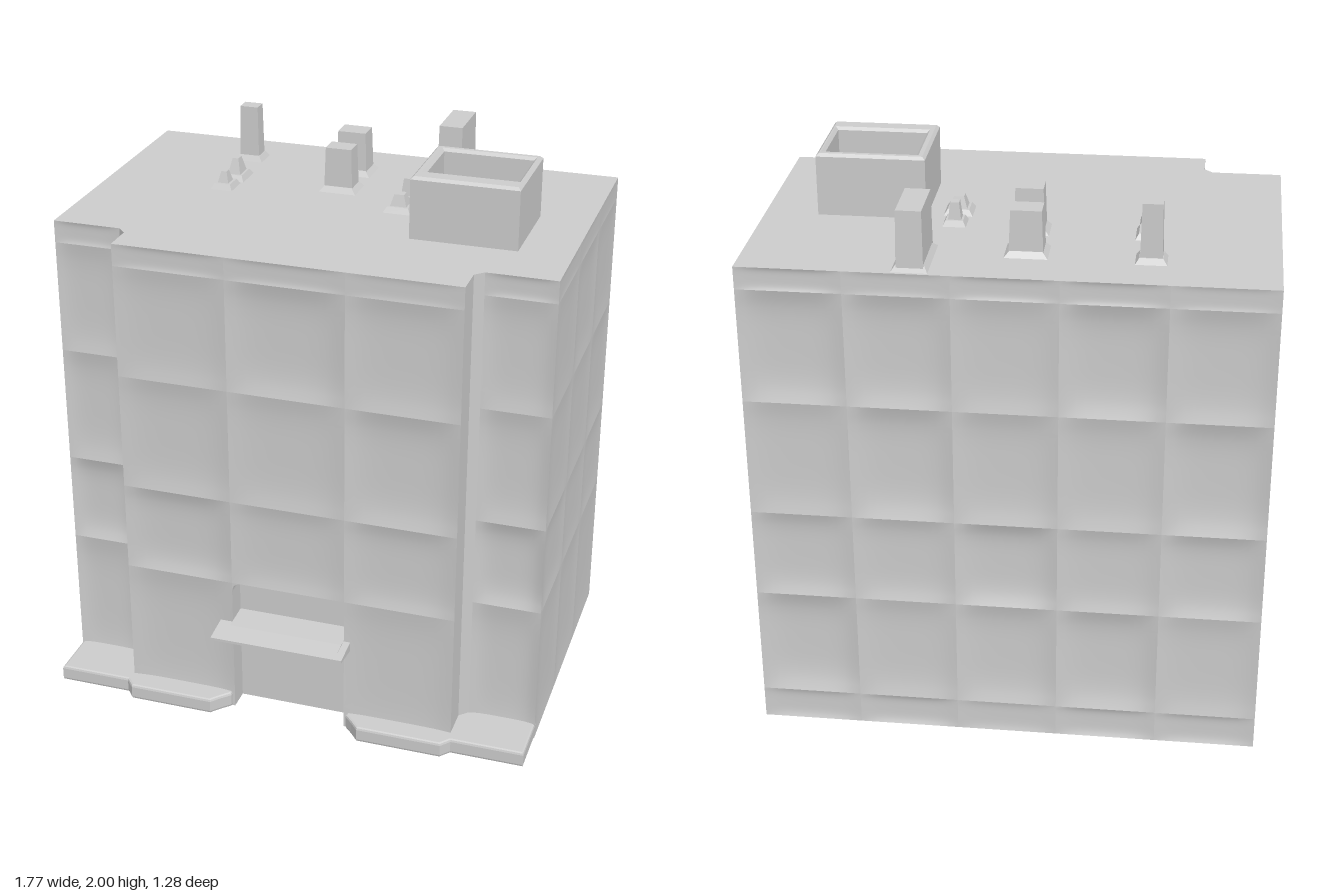
import * as THREE from 'three';
import { mergeGeometries } from 'three/addons/utils/BufferGeometryUtils.js';

const mat = new THREE.MeshStandardMaterial({ color: 0xcccccc });
const ROOF = 1.78, BACK = -0.64, SIDE = 0.885, WING = 0.39, FRONT = 0.53, DOOR = 0.21, INNER = 0.45;
const FLOORS = [0, 0.53, 0.86, 1.29, 1.7, ROOF];

// Wall from a to b ([x, z], outward side on the right), split into softly dished window bays
function wall(a, b, cols, rows, depth, skip = () => false) {
  const dx = b[0] - a[0], dz = b[1] - a[1], len = Math.hypot(dx, dz);
  const cells = [];
  for (let c = 0; c < cols.length - 1; c++) {
    for (let r = 0; r < rows.length - 1; r++) {
      if (skip(c, r)) continue;
      const w = (cols[c + 1] - cols[c]) * len, h = rows[r + 1] - rows[r];
      const n = depth ? 12 : 1;
      const g = new THREE.PlaneGeometry(w, h, n, n);
      const p = g.attributes.position;
      const d = depth * Math.min(1, h / 0.3) * (1 + 0.25 * Math.sin(c * 2.3 + r * 1.7));
      for (let i = 0; i < p.count; i++) {
        const u = 2 * p.getX(i) / w, v = 2 * p.getY(i) / h;
        p.setZ(i, -d * (1 - u ** 4) * (1 - v ** 4));
      }
      g.computeVertexNormals();
      g.rotateY(Math.atan2(-dz, dx));
      const t = (cols[c] + cols[c + 1]) / 2;
      g.translate(a[0] + dx * t, (rows[r] + rows[r + 1]) / 2, a[1] + dz * t);
      cells.push(g);
    }
  }
  return mergeGeometries(cells);
}

const even = n => Array.from({ length: n + 1 }, (_, i) => i / n);
const shapeOf = pts => new THREE.Shape(pts.map(([x, z]) => new THREE.Vector2(x, -z)));

// Box whose top is narrowed, standing on the roof
function taperedBox(w, h, d, top) {
  const g = new THREE.BoxGeometry(w, h, d).toNonIndexed();
  const p = g.attributes.position;
  for (let i = 0; i < p.count; i++) {
    if (p.getY(i) > 0) p.setXYZ(i, p.getX(i) * top, p.getY(i), p.getZ(i) * top);
  }
  g.translate(0, h / 2, 0);
  g.computeVertexNormals();
  return g;
}

export function createModel() {
  const group = new THREE.Group();
  const add = (name, geo, x = 0, y = 0, z = 0) => {
    const m = new THREE.Mesh(geo, mat);
    m.name = name;
    m.position.set(x, y, z);
    group.add(m);
    return m;
  };

  // Outer walls
  add('backWall', wall([SIDE, BACK], [-SIDE, BACK], even(5), [0, 0.12, 0.53, 0.86, 1.29, 1.7, ROOF], 0.018));
  add('rightWall', wall([-SIDE, BACK], [-SIDE, WING], even(3), FLOORS, 0.005));
  add('leftWall', wall([SIDE, WING], [SIDE, BACK], even(3), FLOORS, 0.005));
  add('rightWing', wall([-SIDE, WING], [-0.64, WING], even(1), FLOORS, 0.015));
  add('leftWing', wall([0.64, WING], [SIDE, WING], even(1), FLOORS, 0.015));
  const k = DOOR / 0.61 / 2;
  add('frontWall', wall([-0.61, FRONT], [0.61, FRONT], [0, 0.5 - k, 0.5 + k, 1], FLOORS, 0.014,
    (c, r) => c === 1 && r === 0));

  // Returns between the wings and the projecting front, with a chamfered inner corner
  const steps = [[-0.64, WING], [-0.61, 0.42], [-0.61, FRONT]];
  for (let i = 0; i < 2; i++) {
    const [a, b] = [steps[i], steps[i + 1]];
    add('rightReturn', wall(a, b, even(1), [0, ROOF], 0));
    add('leftReturn', wall([-b[0], b[1]], [-a[0], a[1]], even(1), [0, ROOF], 0));
  }

  // Entrance recess
  const recess = [[-DOOR, FRONT], [-DOOR, INNER], [DOOR, INNER], [DOOR, FRONT]];
  for (let i = 0; i < 3; i++) add('entranceRecess', wall(recess[i], recess[i + 1], even(1), [0, 0.53], 0));
  add('entranceCeiling', new THREE.PlaneGeometry(2 * DOOR, FRONT - INNER).rotateX(Math.PI / 2),
    0, 0.53, (FRONT + INNER) / 2);

  // Rounded upper corners of the window over the door
  for (const s of [-1, 1]) {
    const fillet = new THREE.Shape();
    fillet.moveTo(0, 0);
    fillet.lineTo(s * 0.04, 0);
    fillet.quadraticCurveTo(0, 0, 0, -0.04);
    add('windowCorner', new THREE.ExtrudeGeometry(fillet, { depth: FRONT - INNER, bevelEnabled: false }),
      -s * DOOR, 0.53, INNER);
  }

  // Roof and underside
  const half = [[0.61, FRONT], [0.61, 0.42], [0.64, WING], [SIDE, WING], [SIDE, BACK]];
  const mirrored = half.map(([x, z]) => [-x, z]).reverse();
  add('roof', new THREE.ShapeGeometry(shapeOf([...half, ...mirrored])).rotateX(-Math.PI / 2), 0, ROOF, 0);
  const under = new THREE.ShapeGeometry(shapeOf([...half, ...mirrored, ...recess])).rotateX(-Math.PI / 2);
  const base = add('underside', under);
  base.material = mat.clone();
  base.material.side = THREE.DoubleSide;

  // Stepped plinth on both sides of the door
  for (const s of [-1, 1]) {
    const pts = [[SIDE, 0.37], [SIDE, 0.57], [0.62, 0.57], [0.59, 0.605], [0.28, 0.605], [0.25, 0.57],
      [0.22, 0.54], [0.22, 0.5], [0.58, 0.5], [0.58, 0.37]].map(([x, z]) => [s * x, z]);
    const g = new THREE.ExtrudeGeometry(shapeOf(pts), {
      depth: 0.04, bevelThickness: 0.01, bevelSize: 0.008, bevelOffset: -0.008, bevelSegments: 2 });
    add('plinth', g.rotateX(-Math.PI / 2), 0, 0.01, 0);
  }

  // Canopy with a thin front lip
  const lip = new THREE.Shape([[0.45, 0.325], [0.54, 0.335], [0.64, 0.348], [0.64, 0.358], [0.56, 0.37], [0.45, 0.375]]
    .map(([z, y]) => new THREE.Vector2(-z, y)));
  add('canopy', new THREE.ExtrudeGeometry(lip, { depth: 0.42, bevelEnabled: false }).rotateY(Math.PI / 2), -DOOR, 0, 0);
  const lipFront = new THREE.Shape([[0.535, 0.335], [0.64, 0.348], [0.64, 0.358], [0.535, 0.37]]
    .map(([z, y]) => new THREE.Vector2(-z, y)));
  add('canopyEdge', new THREE.ExtrudeGeometry(lipFront, { depth: 0.49, bevelEnabled: false }).rotateY(Math.PI / 2), -0.255, 0, 0);

  // Open-topped roof enclosure
  const ring = shapeOf([[0.325, 0.18], [0.7, 0.18], [0.7, -0.165], [0.325, -0.165]]);
  ring.holes.push(shapeOf([[0.36, 0.11], [0.36, -0.13], [0.675, -0.13], [0.675, 0.11]]));
  add('roofEnclosure', new THREE.ExtrudeGeometry(ring, {
    depth: 0.21, bevelThickness: 0.01, bevelSize: 0.01, bevelOffset: -0.01, bevelSegments: 1 })
    .rotateX(-Math.PI / 2), 0, ROOF, 0);

  // Chimneys and vents: x, z, width, depth, height, top scale
  const vents = [
    [0.31, -0.51, 0.09, 0.21, 0.205, 0.94], [-0.46, -0.44, 0.075, 0.06, 0.205, 0.9],
    [-0.05, -0.415, 0.115, 0.09, 0.16, 0.9], [-0.04, -0.22, 0.105, 0.08, 0.16, 0.9],
    [0.22, -0.19, 0.05, 0.05, 0.08, 0.6], [0.22, -0.08, 0.07, 0.07, 0.06, 0.5],
    [-0.44, -0.225, 0.055, 0.08, 0.075, 0.4], [-0.445, -0.115, 0.05, 0.06, 0.06, 0.4],
  ];
  for (const [x, z, w, d, h, t] of vents) {
    add('roofVent', taperedBox(w, h, d, t), x, ROOF, z);
    add('ventFlashing', taperedBox(w + 0.03, 0.02, d + 0.03, 0.75), x, ROOF, z);
  }
  return group;
}
